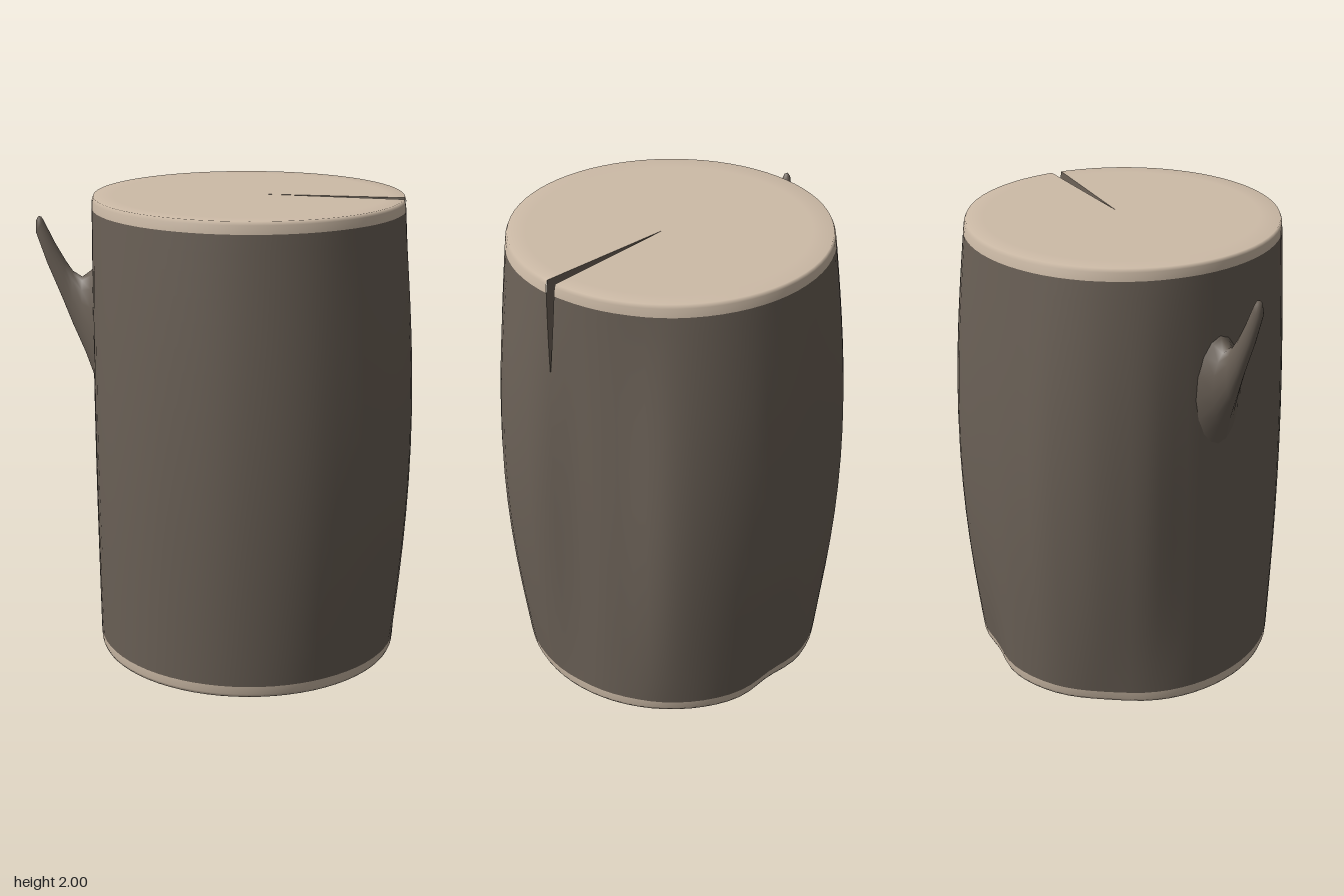
import * as THREE from 'three';
import { mergeVertices } from 'three/addons/utils/BufferGeometryUtils.js';

const CX = 0.1, RIM = 0.657, COLS = 72;
const CRACK = 0.145, CRACK_HALF = 0.035, CRACK_BOTTOM = 1.6;

// Widest trunk radius by direction: [degrees from +x towards +z, radius]
const BULGE = [
  [0, 0.665], [17, 0.728], [32, 0.745], [60, 0.71], [90, 0.703], [116, 0.69], [139, 0.685],
  [156, 0.677], [171, 0.665], [193, 0.674], [212, 0.708], [229, 0.73], [242, 0.735],
  [254, 0.712], [270, 0.7], [295, 0.725], [324, 0.737], [343, 0.675], [360, 0.665],
];

function bulgeAt(theta) {
  const deg = (THREE.MathUtils.radToDeg(theta) + 720) % 360;
  const i = BULGE.findIndex((b) => b[0] > deg);
  const [a, b] = [BULGE[i - 1], BULGE[i]];
  const t = (deg - a[0]) / (b[0] - a[0]);
  return THREE.MathUtils.lerp(a[1], b[1], t * t * (3 - 2 * t));
}

// Soft dents in the foot of the trunk
function dentAt(theta, y) {
  const deg = (THREE.MathUtils.radToDeg(theta) + 720) % 360;
  const fall = Math.max(0, 1 - y / 0.7) ** 2;
  const bump = (centre, width) => Math.exp(-(((deg - centre) / width) ** 2));
  return fall * (0.035 * bump(282, 12) + 0.02 * bump(222, 15));
}

// Point on the trunk; the first and last columns part above the crack's tip
function trunkPoint(col, y, inset = 0) {
  const gap = CRACK_HALF * Math.max(0, (y - CRACK_BOTTOM) / (2 - CRACK_BOTTOM));
  let theta = CRACK + (col / COLS) * Math.PI * 2;
  if (col === 0) theta += gap;
  if (col === COLS) theta -= gap;
  const r = RIM + (bulgeAt(theta) - RIM) * Math.sin((Math.PI * y) / 2) - dentAt(theta, y) - inset;
  return new THREE.Vector3(CX + r * Math.cos(theta), y, r * Math.sin(theta));
}

// Smooth surface through rows of points
function loft(rows) {
  const n = rows[0].length, index = [];
  for (let r = 0; r < rows.length - 1; r++) {
    for (let c = 0; c < n - 1; c++) {
      const a = r * n + c, up = a + n;
      index.push(a, up, a + 1, a + 1, up, up + 1);
    }
  }
  const geo = new THREE.BufferGeometry().setFromPoints(rows.flat());
  geo.setIndex(index);
  const merged = mergeVertices(geo, 1e-4);
  merged.computeVertexNormals();
  return merged;
}

const ring = (make) => Array.from({ length: COLS + 1 }, (_, c) => make(c));

export function createModel() {
  const group = new THREE.Group();
  const bark = new THREE.MeshStandardMaterial({ color: 0x6a6056 });
  const wood = new THREE.MeshStandardMaterial({ color: 0xcdbba7 });
  const crackBark = new THREE.MeshStandardMaterial({ color: 0x6a6056, side: THREE.DoubleSide });
  const add = (name, geo, material) => {
    const mesh = new THREE.Mesh(geo, material);
    mesh.name = name;
    group.add(mesh);
  };

  // Bark
  const heights = [0.05, 0.2, 0.35, 0.5, 0.65, 0.8, 0.95, 1.1, 1.25, 1.4, 1.5, 1.6, 1.7, 1.8, 1.88, 1.95];
  add('bark', loft(heights.map((y) => ring((c) => trunkPoint(c, y)))), bark);

  // Top cut face with its rim, shrinking towards the inner end of the crack
  const apex = new THREE.Vector3(0.15, 2, 0);
  const towards = (t) => ring((c) => trunkPoint(c, 2, 0.006).lerp(apex, t));
  add('topCut', loft([
    ring((c) => trunkPoint(c, 1.95)),
    ring((c) => trunkPoint(c, 1.985, 0.001)),
    towards(0), towards(0.12), towards(0.5), towards(1),
  ]), wood);

  // Bottom cut face with its rim
  const base = new THREE.Vector3(CX, 0, 0);
  const inwards = (t) => ring((c) => trunkPoint(c, 0, 0.006).lerp(base, t));
  add('bottomCut', loft([
    inwards(1), inwards(0.12), inwards(0),
    ring((c) => trunkPoint(c, 0.015, 0.001)),
    ring((c) => trunkPoint(c, 0.05)),
  ]), wood);

  // Walls of the wedge-shaped crack
  for (const col of [0, COLS]) {
    const rows = [1.6, 1.7, 1.8, 1.88, 1.95, 2].map((y) => [apex.clone(), trunkPoint(col, y, y === 2 ? 0.006 : 0)]);
    add(col ? 'crackWallBack' : 'crackWallFront', loft(rows), crackBark);
  }

  // Branch stub: [lower x, lower y, upper x, upper y, half width]
  const sections = [
    [-0.5, 1.02, -0.5, 1.74, 0.17],
    [-0.565, 1.2, -0.57, 1.67, 0.105],
    [-0.6, 1.3, -0.61, 1.64, 0.068],
    [-0.655, 1.43, -0.65, 1.665, 0.04],
    [-0.7, 1.55, -0.68, 1.71, 0.03],
    [-0.76, 1.7, -0.725, 1.79, 0.026],
    [-0.803, 1.83, -0.768, 1.88, 0.022],
    [-0.802, 1.88, -0.778, 1.897, 0.013],
    [-0.79, 1.9, -0.79, 1.9, 0],
  ];
  add('branchStub', loft(sections.map(([lx, ly, ux, uy, w]) =>
    Array.from({ length: 17 }, (_, i) => {
      const phi = (i / 16) * Math.PI * 2, t = (1 + Math.cos(phi)) / 2;
      return new THREE.Vector3(lx + (ux - lx) * t, ly + (uy - ly) * t, -0.005 + w * Math.sin(phi));
    }))), bark);

  return group;
}
